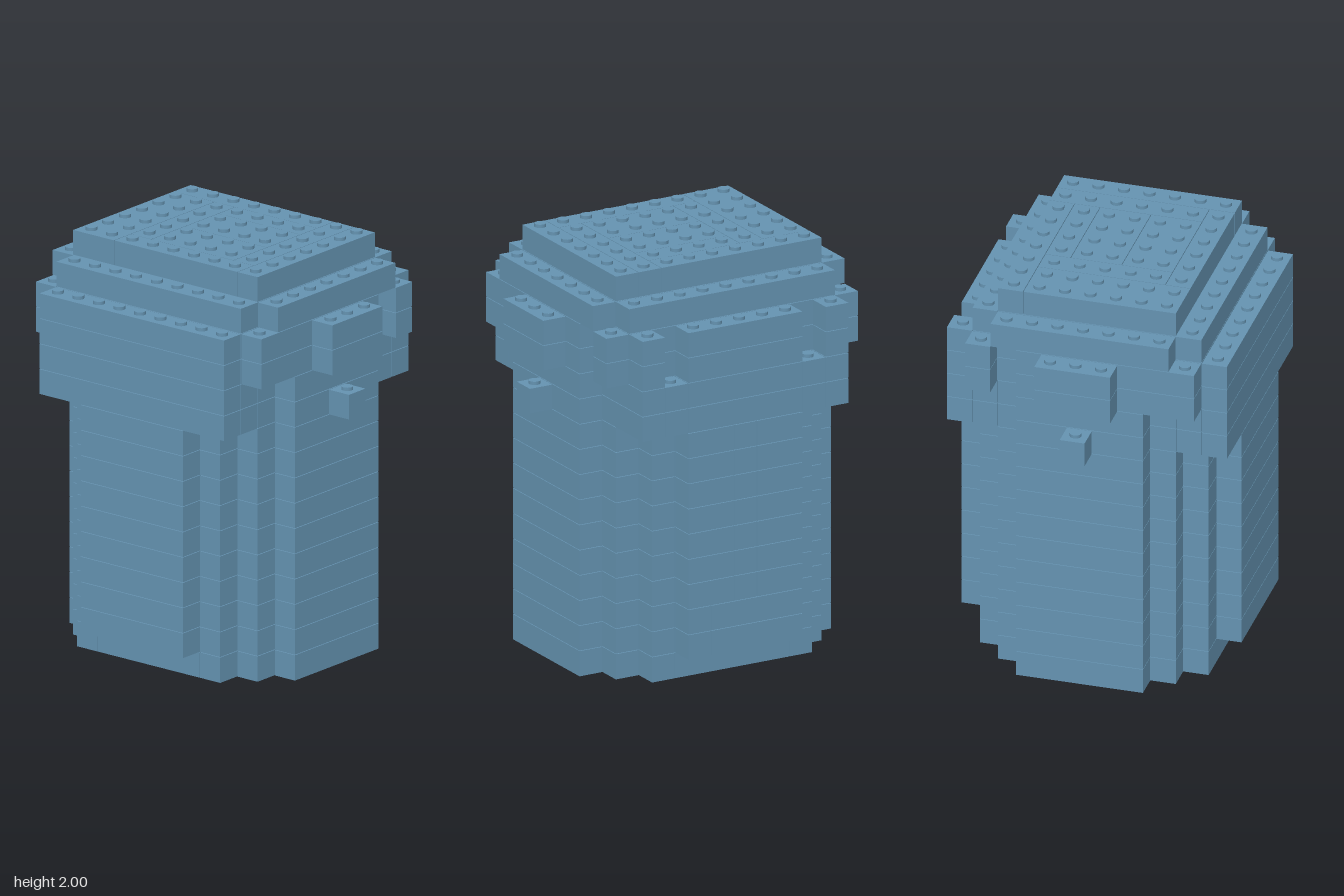
import * as THREE from 'three';

const P = 0.1236;  // stud pitch
const H = 0.124;   // layer height
const GAP = 0.003; // seam between bricks

// Bricks are rectangles of cells: [x first, x last, z first, z last]
const mirrorZ = (rects) => rects.flatMap(([a, b, c, d]) => [[a, b, c, d], [a, b, -d, -c]]);

// Stepped oval plan shared by the whole body
const steps = mirrorZ([[-2, 2, 5, 5], [-3, 3, 4, 4], [-4, 4, 3, 3]]);
const foot = [...steps, [-4, 4, -2, 2]];
const lowBody = [...foot, [-5, -5, -2, 2], [5, 5, -2, 1], [5, 5, 2, 2]];
const body = [...foot, [-5, -5, -2, 2],
  [5, 5, -2, -1], [5, 5, 0, 0], [5, 5, 1, 2]];

// Collar widens the long sides down to the tenth layer
const collar = [...steps, [-4, 4, -2, 2], [-5, -5, -4, 4], [5, 5, -2, 2],
  ...mirrorZ([[4, 4, 4, 4], [-4, -4, 4, 4], [5, 5, 4, 4], [5, 5, 3, 3]])];
const nose = mirrorZ([[0, 0, 6, 6]]);

// Brim with notches on one side and a projecting block at both ends
const brim = [[-4, 4, -4, 4], [-5, -5, -4, 4], [5, 5, -2, 2],
  ...mirrorZ([[5, 5, 4, 4], [-4, 2, 5, 5], [4, 4, 5, 5], [-1, 1, 6, 6]])];

const upperStep = [[-4, 3, -4, 4], [4, 4, -4, 4], ...mirrorZ([[-3, 3, 5, 5]])];
const crown = [[-3, 2, -4, -3], [3, 3, -4, 2], [-3, -3, -2, 3], [-2, 2, -2, -2],
  [-2, -1, -1, 2], [0, 1, -1, 2], [2, 2, -1, 2], [-2, 3, 3, 3], [-3, 3, 4, 4]];

const layers = [
  ['foot', foot],
  ...Array(2).fill(['lowerBody', lowBody]),
  ...Array(7).fill(['body', body]),
  ['collar', [...collar, ...nose]],
  ['collar', collar],
  ...Array(2).fill(['brim', brim]),
  ['upperStep', upperStep],
  ['crown', crown],
];

const covers = (rects, i, k) => rects.some(([a, b, c, d]) => i >= a && i <= b && k >= c && k <= d);

export function createModel() {
  const model = new THREE.Group();
  model.name = 'brickModel';
  const blue = new THREE.MeshStandardMaterial({ color: 0x6492b0 });
  blue.name = 'steelBlue';
  const studGeometry = new THREE.CylinderGeometry(0.028, 0.028, 0.016, 16);

  layers.forEach(([name, rects], level) => {
    const layer = new THREE.Group();
    layer.name = `${name}Layer${level + 1}`;
    layer.position.y = level * H;
    const above = level + 1 < layers.length ? layers[level + 1][1] : [];

    for (const [a, b, c, d] of rects) {
      // Brick
      const bottomGap = level ? GAP : 0;
      const brick = new THREE.Mesh(
        new THREE.BoxGeometry((b - a + 1) * P - GAP, H - bottomGap, (d - c + 1) * P - GAP), blue);
      brick.name = `${name}Brick`;
      brick.position.set((a + b) / 2 * P, (H + bottomGap) / 2, (c + d) / 2 * P);
      layer.add(brick);

      // Studs on the cells left open by the next layer
      for (let i = a; i <= b; i++) {
        for (let k = c; k <= d; k++) {
          if (covers(above, i, k)) continue;
          const stud = new THREE.Mesh(studGeometry, blue);
          stud.name = 'stud';
          stud.position.set(i * P, H + 0.008, k * P);
          layer.add(stud);
        }
      }
    }
    model.add(layer);
  });
  return model;
}
